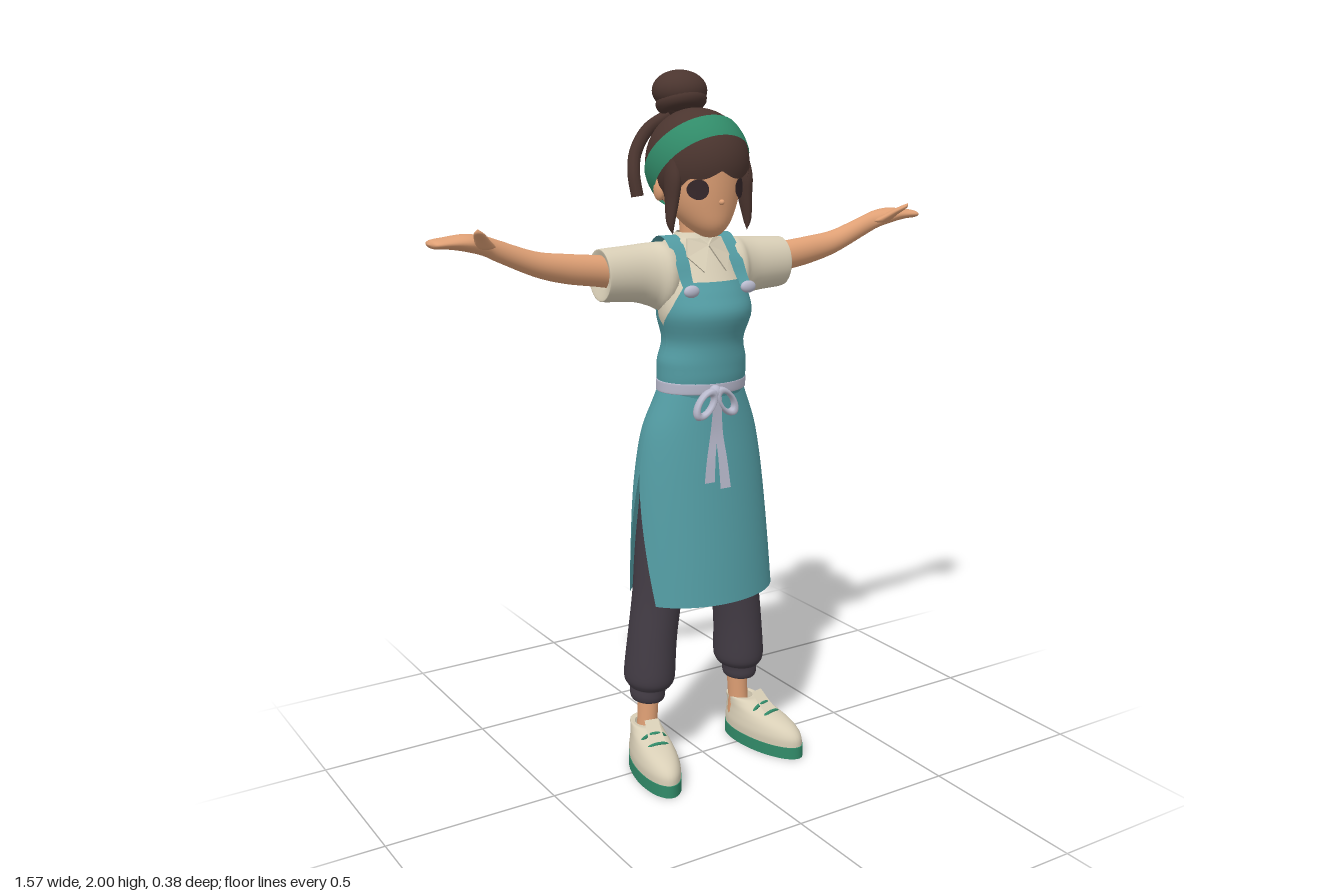
import * as THREE from 'three';
import { mergeVertices } from 'three/addons/utils/BufferGeometryUtils.js';
import { ParametricGeometry } from 'three/addons/geometries/ParametricGeometry.js';

const PI = Math.PI, H = PI / 2;
const paint = (name, color, side = THREE.FrontSide) =>
  Object.assign(new THREE.MeshStandardMaterial({ color, side }), { name });

// Smooth, non-overshooting interpolation through rows of numbers
function sample(rows, t) {
  const n = rows.length - 1, f = t * n, i = Math.min(n - 1, Math.floor(f)), u = f - i;
  return rows[0].map((_, k) => {
    const d = j => rows[j + 1][k] - rows[j][k];
    const m = j => {
      if (j === 0) return d(0);
      if (j === n) return d(n - 1);
      const a = d(j - 1), b = d(j);
      return a * b <= 0 ? 0 : Math.sign(a) * Math.min(Math.abs(a + b) / 2, 3 * Math.abs(a), 3 * Math.abs(b));
    };
    const u2 = u * u, u3 = u2 * u;
    return rows[i][k] * (2 * u3 - 3 * u2 + 1) + m(i) * (u3 - 2 * u2 + u)
      + rows[i + 1][k] * (3 * u2 - 2 * u3) + m(i + 1) * (u3 - u2);
  });
}

// Surface from a rule, with welded smooth normals
function surface(fn, nu, nv) {
  let g = new ParametricGeometry(fn, nu, nv);
  g.deleteAttribute('normal');
  g.deleteAttribute('uv');
  g = mergeVertices(g, 1e-5);
  g.computeVertexNormals();
  return g;
}

// Upright loft: rows are [y, centreX, centreZ, radiusX, radiusZ]
const loft = (rows, range = () => [-PI, PI], nu = 36) => surface((u, v, p) => {
  const [y, cx, cz, rx, rz] = sample(rows, v), [a0, a1] = range(y), a = a0 + (a1 - a0) * u;
  p.set(cx + rx * Math.sin(a), y, cz + rz * Math.cos(a));
}, nu, (rows.length - 1) * 5);

// Sideways loft: rows are [x, centreY, centreZ, radiusY, radiusZ]
const loftX = rows => surface((u, v, p) => {
  const [x, cy, cz, ry, rz] = sample(rows, v), a = (u * 2 - 1) * PI;
  p.set(x, cy - ry * Math.sin(a), cz + rz * Math.cos(a));
}, 28, (rows.length - 1) * 5);

// Flat strip along a curve, spread in x
function ribbon(points, w0, w1 = w0) {
  const c = new THREE.CatmullRomCurve3(points.map(q => new THREE.Vector3(...q)));
  return surface((u, v, p) => {
    c.getPoint(v, p);
    p.x += (u - 0.5) * (w0 + (w1 - w0) * v);
  }, 2, 24);
}

const tube = (points, r) =>
  new THREE.TubeGeometry(new THREE.CatmullRomCurve3(points.map(q => new THREE.Vector3(...q))), 20, r, 10);
const ball = (x, y, z, rx, ry, rz) =>
  new THREE.SphereGeometry(1, 28, 18).scale(rx, ry, rz).translate(x, y, z);

function mirrored(geo) {
  const g = geo.index ? geo.clone() : mergeVertices(geo);
  g.scale(-1, 1, 1);
  const a = g.index.array;
  for (let i = 0; i < a.length; i += 3) [a[i], a[i + 1]] = [a[i + 1], a[i]];
  return g;
}

// [y, halfWidth, front, back] to loft rows, optionally grown
const body = (list, grow = 0) =>
  list.map(([y, w, f, b]) => [y, 0, (f + b) / 2, w + grow, (f - b) / 2 + grow]);

export function createModel() {
  const model = new THREE.Group();
  model.name = 'apronFigure';
  const D = THREE.DoubleSide;
  const skin = paint('skin', 0xdfa075), hair = paint('hair', 0x4b352f, D), teal = paint('apronTeal', 0x539ca3, D);
  const cream = paint('cream', 0xd8ceb6, D), green = paint('green', 0x318b69, D), dark = paint('trousers', 0x433c45, D);
  const ties = paint('tieLavender', 0xb9bacd, D), eyeMat = paint('eyeDark', 0x35272a);
  const add = (name, geo, mat) => {
    const m = new THREE.Mesh(geo, mat);
    m.name = name;
    model.add(m);
  };
  const pair = (name, geo, mat) => {
    add(name + 'Left', geo, mat);
    add(name + 'Right', mirrored(geo), mat);
  };

  // Shirt and bib
  const torso = [
    [1.12, .12, .085, -.107], [1.17, .125, .096, -.112], [1.21, .125, .098, -.112], [1.27, .112, .1, -.103],
    [1.35, .132, .123, -.11], [1.40, .13, .103, -.114], [1.44, .125, .078, -.115],
    [1.49, .115, .045, -.112], [1.54, .1, .008, -.095], [1.556, .05, -.005, -.085]];
  add('shirt', loft(body(torso)), cream);
  const half = y => H - (H - .75) * THREE.MathUtils.clamp((y - 1.32) / .12, 0, 1);
  const bib = body(torso.slice(0, 7), .006);
  add('bibFront', loft(bib, y => [-half(y), half(y)]), teal);
  add('bibBack', loft(bib, y => [PI - half(y), PI + half(y)]), teal);
  pair('shoulderStrap', ribbon([[.092, 1.415, .085], [.09, 1.45, .058], [.087, 1.5, .03], [.086, 1.552, -.02],
    [.086, 1.558, -.055], [.083, 1.525, -.098], [.065, 1.47, -.116], [.045, 1.41, -.12]], .034, .07), teal);
  pair('strapButton', ball(.092, 1.42, .09, .024, .017, .012), ties);

  // Collar
  add('collarBand', loft(body([[1.525, .083, .03, -.122], [1.545, .066, .012, -.112], [1.566, .05, -.002, -.095]])), cream);
  const flap = new THREE.Shape([[0, 1.535], [.035, 1.465], [.068, 1.505], [.055, 1.553], [.02, 1.553]]
    .map(q => new THREE.Vector2(...q)));
  const flapGeo = new THREE.ExtrudeGeometry(flap, { depth: .008, bevelEnabled: false });
  const fp = flapGeo.attributes.position;
  for (let i = 0; i < fp.count; i++) {
    const x = fp.getX(i), y = fp.getY(i);
    fp.setZ(i, fp.getZ(i) + .066 - (y - 1.465) * .6 - x * x * 4);
  }
  flapGeo.computeVertexNormals();
  pair('collarFlap', flapGeo, cream);

  // Sleeves, arms and hands
  pair('sleeve', loftX([[.05, 1.47, -.045, .06, .05], [.115, 1.45, -.035, .095, .08], [.15, 1.456, -.045, .087, .07],
    [.2, 1.461, -.05, .078, .066], [.29, 1.462, -.05, .072, .064], [.297, 1.463, -.05, .069, .061],
    [.288, 1.465, -.05, .04, .038]]), cream);
  pair('arm', loftX([[.24, 1.465, -.05, .045, .042], [.3, 1.475, -.05, .043, .04], [.4, 1.488, -.05, .04, .037],
    [.49, 1.507, -.046, .034, .034], [.6, 1.55, -.04, .029, .027], [.64, 1.566, -.037, .026, .033],
    [.69, 1.576, -.035, .022, .043], [.74, 1.578, -.035, .015, .043], [.775, 1.577, -.034, .011, .039],
    [.787, 1.577, -.033, 0, 0]]), skin);
  pair('thumb', loft([[1.555, .64, -.015, 0, 0], [1.565, .645, -.008, .028, .02], [1.585, .662, .014, .02, .019],
    [1.605, .681, .04, .013, .015], [1.618, .69, .054, 0, 0]], undefined, 16), skin);

  // Skirt with side slits
  const skirt = body([[.53, .222, .153, -.17], [.65, .216, .141, -.171], [.8, .206, .124, -.167],
    [.92, .193, .11, -.157], [1.02, .174, .098, -.142], [1.1, .143, .09, -.12], [1.145, .124, .087, -.11]]);
  const edge = y => H - .47 * Math.max(0, (.9 - y) / .37);
  add('skirtFront', loft(skirt, y => [-edge(y), edge(y)]), teal);
  add('skirtBack', loft(skirt, y => [PI - edge(y), PI + edge(y)]), teal);

  // Waist tie and bow
  add('waistTie', loft(body([[1.128, .122, .088, -.108], [1.131, .133, .098, -.119], [1.159, .133, .101, -.12],
    [1.162, .122, .09, -.11]]), undefined, 48), ties);
  add('bowKnot', ball(-.03, 1.14, .112, .019, .02, .018), ties);
  [[-1, -.065, 1.11], [1, .002, 1.112]].forEach(([s, x, y]) => add('bowLoop',
    new THREE.TorusGeometry(.035, .011, 8, 24).scale(.6, 1.1, 1.3).rotateZ(-s * -.65).translate(x, y, .118), ties));
  add('bowTailOuter', ribbon([[-.032, 1.14, .125], [-.04, 1.03, .122], [-.055, .95, .13], [-.062, .89, .135]], .018, .034), ties);
  add('bowTailInner', ribbon([[-.028, 1.14, .127], [-.025, 1.03, .125], [-.018, .95, .133], [-.014, .87, .142]], .018, .034), ties);

  // Trousers and ankles
  pair('trouserLeg', loft([[.2, .163, -.047, .032, .035], [.203, .163, -.047, .045, .052], [.222, .163, -.047, .05, .058],
    [.24, .161, -.047, .05, .058], [.25, .158, -.046, .062, .074], [.285, .157, -.045, .072, .085],
    [.4, .149, -.04, .07, .079], [.53, .133, -.036, .072, .077], [.7, .115, -.03, .078, .085],
    [1.0, .075, -.022, .08, .1]]), dark);
  pair('ankle', loft([[.07, .165, -.05, .034, .038], [.13, .162, -.052, .029, .033], [.22, .157, -.052, .03, .034]]), skin);

  // Shoes, splayed outward
  const shoe = (name, geo, mat) => pair(name, geo.rotateY(.2).translate(.193, 0, .042), mat);
  shoe('shoeSole', new THREE.CylinderGeometry(1, 1, .036, 40).scale(.062, 1, .154).translate(0, .018, 0), green);
  shoe('shoeUpper', loft([[.03, 0, 0, .06, .151], [.055, 0, -.001, .061, .15], [.08, 0, -.009, .057, .139],
    [.1, 0, -.03, .051, .117], [.118, 0, -.066, .045, .08], [.132, 0, -.088, .04, .056],
    [.13, 0, -.09, .028, .035]]), cream);
  shoe('shoeTongue', ribbon([[0, .105, .045], [0, .13, .005], [0, .16, -.03]], .05, .04), cream);
  [.0, .035].forEach((z, i) => shoe('shoeLace',
    tube([[-.045, .095 - i * .012, z - .012], [-.02, .126 - i * .016, z], [.02, .126 - i * .016, z], [.045, .095 - i * .012, z - .012]], .005), green));

  // Head
  add('neck', loft([[1.5, 0, -.045, .05, .048], [1.56, 0, -.045, .04, .04], [1.65, 0, -.045, .045, .045]]), skin);
  add('head', loft([[1.555, 0, .035, 0, 0], [1.562, 0, .033, .025, .03], [1.59, 0, .018, .06, .067],
    [1.64, 0, -.007, .095, .1], [1.7, 0, -.02, .114, .118], [1.77, 0, -.03, .123, .13], [1.83, 0, -.03, .1, .105]]), skin);
  pair('ear', ball(.117, 1.685, -.035, .014, .03, .022), skin);
  add('nose', ball(0, 1.655, .094, .008, .008, .01), skin);
  const eye = new THREE.CircleGeometry(1, 28).scale(.024, .027, 1).translate(.066, 1.69, 0);
  const ep = eye.attributes.position;
  for (let i = 0; i < ep.count; i++) ep.setZ(i, -.013 + .119 * Math.sqrt(1 - (ep.getX(i) / .115) ** 2));
  eye.computeVertexNormals();
  pair('eye', eye, eyeMat);

  // Hair cap and headband share a tilted axis
  const shell = (start, len, k) => new THREE.SphereGeometry(1, 48, 24, 0, PI * 2, start, len)
    .rotateX(-PI / 4).scale(.136 * k, .146 * k, .156 * k).translate(0, 1.755, -.03);
  add('hairCap', shell(0, H + .15, 1), hair);
  add('headband', shell(H - .24, .48, 1.03), green);

  // Jagged fringe that lengthens toward the temples
  add('fringe', surface((u, v, p) => {
    const a = (u * 2 - 1) * 1.5, s = THREE.MathUtils.smoothstep(Math.abs(a), .7, 1.1);
    const low = -.1 - .16 * Math.abs(Math.sin(3.6 * a + .5)) - .38 * s;
    const f = low + (Math.atan(Math.cos(a)) - low) * v;
    p.set(.138 * Math.sin(a) * Math.cos(f), 1.755 + .148 * Math.sin(f), -.03 + .158 * Math.cos(a) * Math.cos(f));
  }, 72, 12), hair);
  pair('sideLock', loft([[1.57, .12, .04, 0, 0], [1.6, .124, .035, .01, .014], [1.66, .118, .032, .016, .026],
    [1.72, .114, .03, .02, .034], [1.77, .112, .02, .016, .03]], undefined, 16), hair);

  // Bun and loose strand
  add('bun', ball(0, 1.945, -.118, .078, .056, .074), hair);
  add('bunCoil', new THREE.TorusGeometry(.048, .024, 12, 32).rotateX(H - .3).translate(0, 1.915, -.11), hair);
  add('looseStrand', tube([[-.02, 1.88, -.14], [-.075, 1.84, -.165], [-.115, 1.78, -.165], [-.13, 1.72, -.15], [-.125, 1.66, -.14]], .018), hair);

  return model;
}
